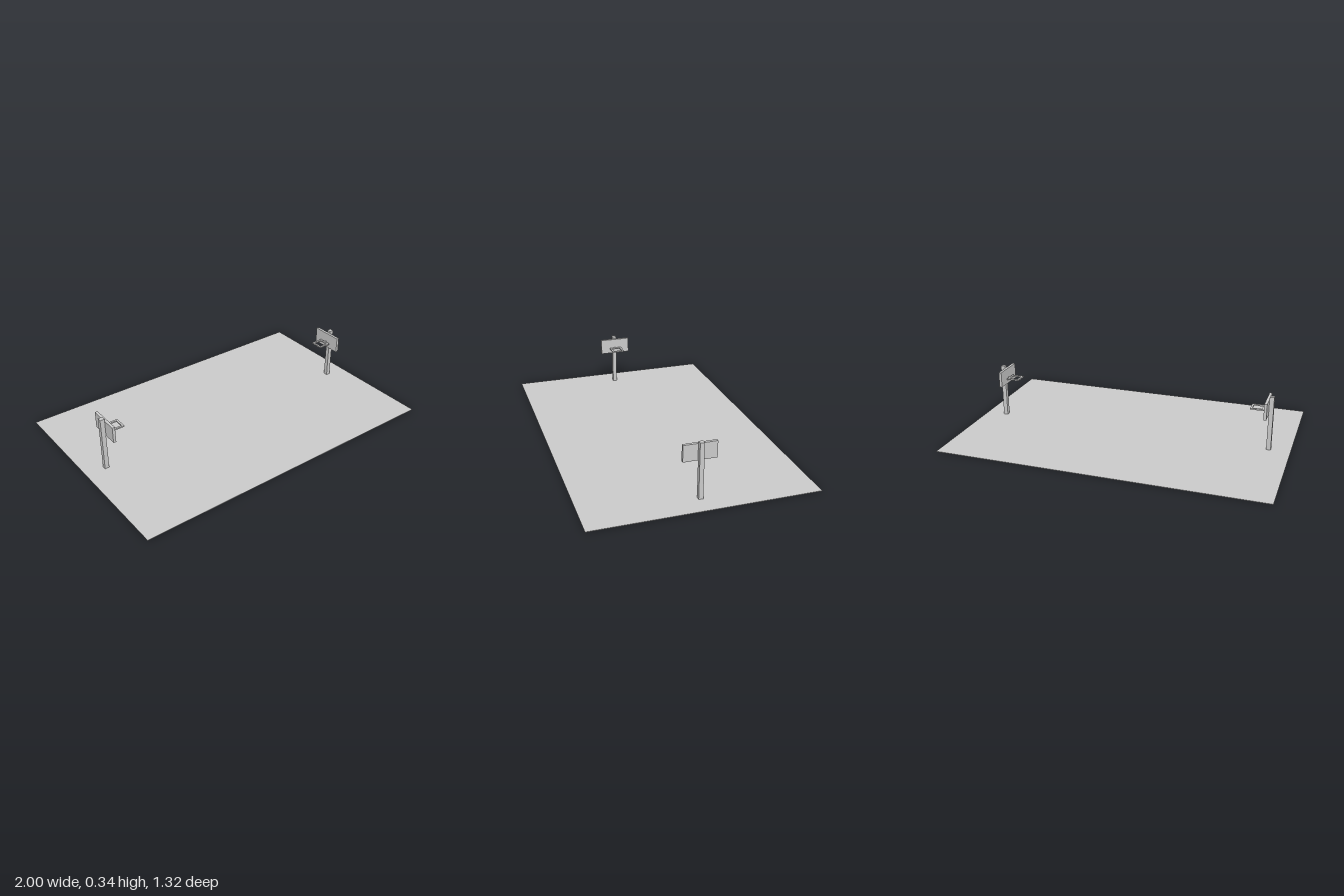
import * as THREE from 'three';

const material = new THREE.MeshStandardMaterial({ color: 0xcccccc, flatShading: true });

// Box given by its lower and upper limits on each axis
function box(name, [x0, x1], [y0, y1], [z0, z1]) {
  const mesh = new THREE.Mesh(new THREE.BoxGeometry(x1 - x0, y1 - y0, z1 - z0), material);
  mesh.position.set((x0 + x1) / 2, (y0 + y1) / 2, (z0 + z1) / 2);
  mesh.name = name;
  return mesh;
}

function square(PathType, half) {
  return new PathType([[-1, -1], [1, -1], [1, 1], [-1, 1]].map(
    ([x, y]) => new THREE.Vector2(x * half, y * half)));
}

// Flat square rim with a square opening
function createRim() {
  const depth = 0.008;
  const shape = square(THREE.Shape, 0.04);
  shape.holes.push(square(THREE.Path, 0.028));
  const geometry = new THREE.ExtrudeGeometry(shape, { depth, bevelEnabled: false });
  geometry.rotateX(-Math.PI / 2);
  const rim = new THREE.Mesh(geometry, material);
  rim.position.set(-0.79, 0.259, 0);
  rim.name = 'rim';
  return rim;
}

// Hoop stand at the -x end, facing the middle of the court
function createHoop(name) {
  const hoop = new THREE.Group();
  hoop.name = name;
  hoop.add(
    box('post', [-0.883, -0.856], [0.003, 0.339], [-0.013, 0.013]),
    box('backboard', [-0.856, -0.839], [0.226, 0.325], [-0.098, 0.098]),
    box('rimBracket', [-0.839, -0.829], [0.26, 0.266], [-0.004, 0.004]),
    createRim(),
  );
  return hoop;
}

export function createModel() {
  const model = new THREE.Group();
  model.name = 'basketballCourt';
  model.add(box('court', [-1, 1], [0, 0.003], [-0.66, 0.66]));

  // The second hoop is the first turned half way round
  const right = createHoop('rightHoop');
  const left = createHoop('leftHoop');
  left.rotation.y = Math.PI;
  model.add(right, left);
  return model;
}
